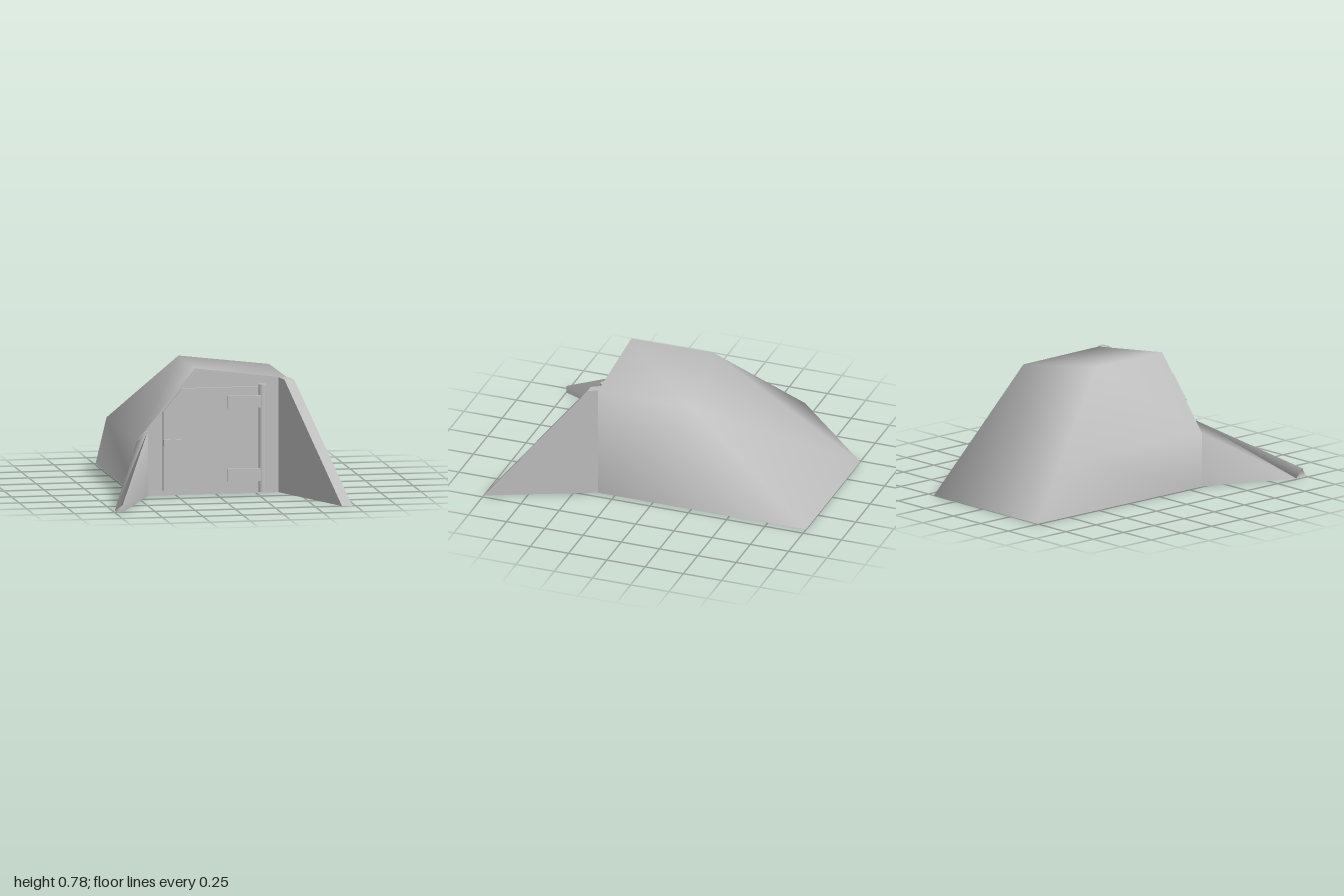
import * as THREE from 'three';

const concrete = new THREE.MeshStandardMaterial({ color: 0xc0c0c0 });
concrete.name = 'pale grey';

// Convex solid from corner points: smooth faces share normals, flat faces do not.
function solid(name, points, smoothFaces, flatFaces) {
  const group = new THREE.Group();
  group.name = name;
  const pts = points.map((p) => new THREE.Vector3(...p));
  const centre = pts.reduce((s, p) => s.add(p), new THREE.Vector3()).divideScalar(pts.length);

  // Fan each polygon into triangles that face away from the centre.
  const fan = (faces) => {
    const index = [];
    for (const f of faces) {
      for (let i = 1; i < f.length - 1; i++) {
        const [a, b, c] = [pts[f[0]], pts[f[i]], pts[f[i + 1]]];
        const n = b.clone().sub(a).cross(c.clone().sub(a));
        const out = n.dot(a.clone().sub(centre)) > 0;
        index.push(f[0], out ? f[i] : f[i + 1], out ? f[i + 1] : f[i]);
      }
    }
    return index;
  };
  const add = (label, faces, flat) => {
    if (!faces.length) return;
    let g = new THREE.BufferGeometry().setFromPoints(pts);
    g.setIndex(fan(faces));
    if (flat) g = g.toNonIndexed();
    g.computeVertexNormals();
    const mesh = new THREE.Mesh(g, concrete);
    mesh.name = label;
    group.add(mesh);
  };
  add(name + 'Shell', smoothFaces, false);
  add(name + 'Flats', flatFaces, true);
  return group;
}

function part(name, geometry, x, y, z) {
  const mesh = new THREE.Mesh(geometry, concrete);
  mesh.name = name;
  mesh.position.set(x, y, z);
  return mesh;
}

export function createModel() {
  const model = new THREE.Group();
  model.name = 'bunkerEntrance';

  // Sloping shelter body
  model.add(solid('body', [
    [-0.49, 0, 0.36], [-0.49, 0.34, 0.36], [-0.13, 0.78, 0.36], [0.45, 0.705, 0.36], [0.45, 0, 0.36],
    [-0.49, 0, -1], [-0.49, 0.34, -0.64], [-0.13, 0.78, -0.18], [0.45, 0.7, -0.26], [0.45, 0, -1],
  ], [
    [0, 1, 6, 5], [1, 2, 7, 6], [2, 3, 8], [2, 8, 7], [4, 9, 8, 3], [5, 6, 7, 8, 9],
  ], [
    [0, 1, 2, 3, 4], [0, 4, 9, 5],
  ]));

  // Tall wing wall on the hinge side
  model.add(solid('leftWingWall', [
    [0.39, 0, 0.36], [0.45, 0, 0.36], [0.73, 0, 1], [0.665, 0, 1],
    [0.39, 0.71, 0.36], [0.45, 0.71, 0.36], [0.476, 0.705, 0.42], [0.416, 0.705, 0.42],
  ], [], [
    [0, 4, 7, 3], [1, 2, 6, 5], [4, 5, 6, 7], [7, 6, 2, 3], [0, 1, 5, 4], [0, 1, 2, 3],
  ]));

  // Low wing wall on the handle side, its top cut to the roof slope
  model.add(solid('rightWingWall', [
    [-0.42, 0, 0.36], [-0.49, 0, 0.36], [-0.735, 0, 0.92], [-0.735, 0, 1], [-0.7, 0, 1],
    [-0.42, 0.41, 0.36], [-0.49, 0.34, 0.36], [-0.7, 0.045, 1],
  ], [
    [5, 6, 2, 7], [2, 3, 7], [3, 4, 7], [0, 5, 7, 4], [1, 6, 2],
  ], [
    [0, 5, 6, 1], [0, 1, 2, 3, 4],
  ]));

  // Door with one corner cut off under the sloping roof
  const outline = [[-0.33, 0.03], [0.265, 0.03], [0.265, 0.66], [-0.21, 0.66], [-0.33, 0.52]];
  const doorShape = new THREE.Shape(outline.map((p) => new THREE.Vector2(...p)));
  const doorGeometry = new THREE.ExtrudeGeometry(doorShape, { depth: 0.022, bevelEnabled: false });
  model.add(part('door', doorGeometry, 0, 0, 0.358));

  // Hinge post, straps and handle
  model.add(part('hingePost', new THREE.CylinderGeometry(0.024, 0.024, 0.665, 24), 0.286, 0.342, 0.379));
  for (const y of [0.118, 0.57]) {
    model.add(part('hingeStrap', new THREE.BoxGeometry(0.222, 0.077, 0.04), 0.181, y, 0.38));
  }
  model.add(part('handle', new THREE.BoxGeometry(0.115, 0.038, 0.034), -0.272, 0.329, 0.376));

  return model;
}
